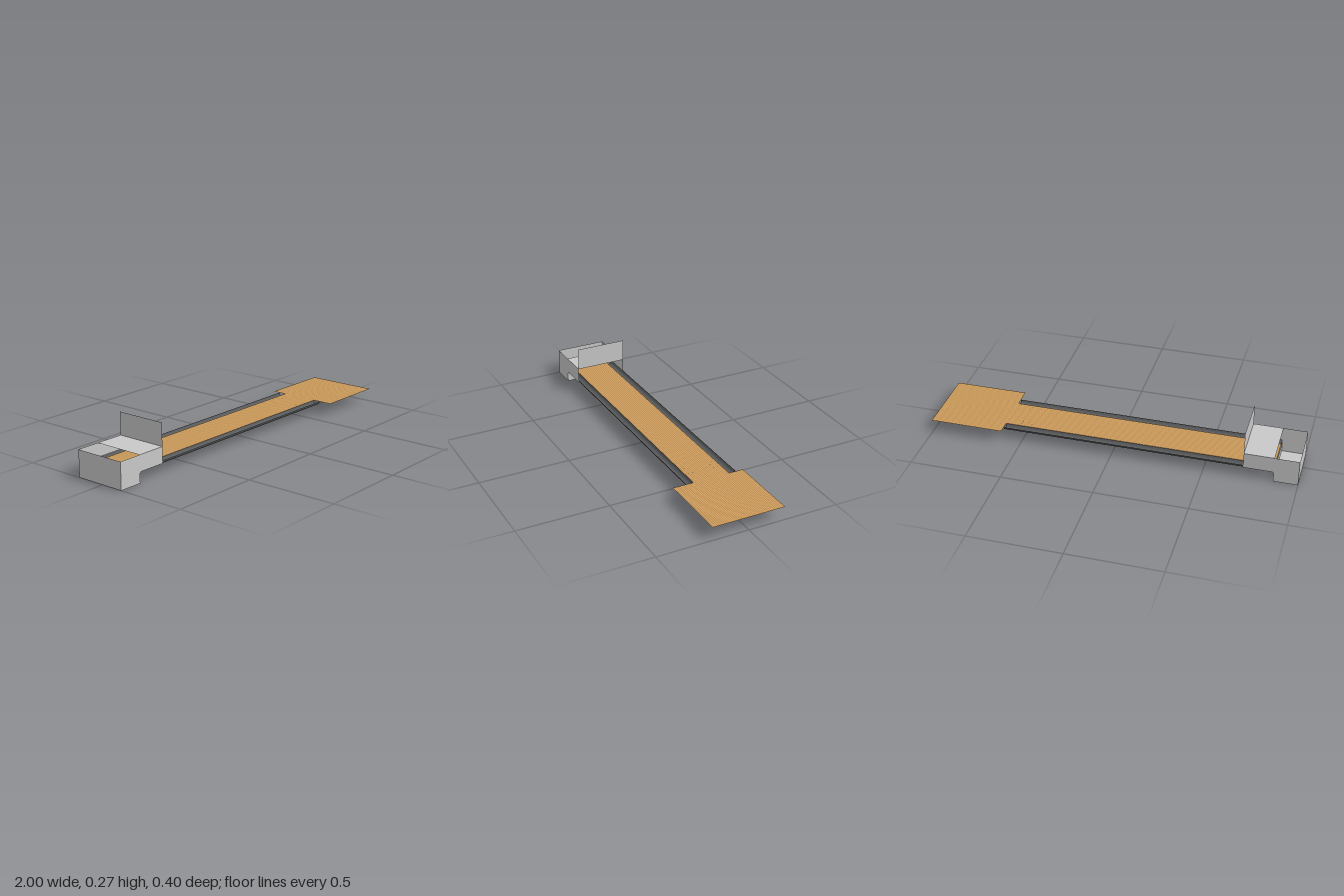
import * as THREE from 'three';
import { mergeGeometries } from 'three/addons/utils/BufferGeometryUtils.js';

const mat = (name, color) => {
  const m = new THREE.MeshStandardMaterial({ color, side: THREE.DoubleSide });
  m.name = name;
  return m;
};

const DECK_Y = 0.073;                 // height of the playing surface
const Z_BACK = -0.16, Z_FRONT = 0.125; // outer edges of the lane with gutters
const GUTTER_R = 0.02;
const PIT_X = -0.87, MOUTH_X = -0.71;  // pit wall and open end of the housing

export function createModel() {
  const group = new THREE.Group();
  const woodLight = mat('light wood', 0xd4a263);
  const woodDark = mat('dark wood', 0xb98a4e);
  const steel = mat('grey housing', 0xc8c8c8);
  const rubber = mat('dark gutter', 0x5a5b5c);
  const ink = mat('marker', 0x4a3a2a);

  const add = (name, geometry, material) => {
    const mesh = new THREE.Mesh(geometry, material);
    mesh.name = name;
    group.add(mesh);
    return mesh;
  };

  // Horizontal and crosswise panels
  const flat = (x0, x1, z0, z1, y) => new THREE.PlaneGeometry(x1 - x0, z1 - z0)
    .rotateX(-Math.PI / 2).translate((x0 + x1) / 2, y, (z0 + z1) / 2);
  const upright = (x, y0, y1) => new THREE.PlaneGeometry(Z_FRONT - Z_BACK, y1 - y0)
    .rotateY(Math.PI / 2).translate(x, (y0 + y1) / 2, (Z_FRONT + Z_BACK) / 2);

  // Floor of narrow boards in two alternating tones
  const boards = (name, x0, x1, z0, z1, count) => {
    const sets = [[], []];
    const w = (z1 - z0) / count;
    for (let i = 0; i < count; i++) {
      sets[i % 2].push(flat(x0, x1, z0 + i * w, z0 + (i + 1) * w, DECK_Y));
    }
    add(name + 'LightBoards', mergeGeometries(sets[0]), woodLight);
    add(name + 'DarkBoards', mergeGeometries(sets[1]), woodDark);
  };
  boards('lane', PIT_X, 0.6, Z_BACK + 2 * GUTTER_R, Z_FRONT - 2 * GUTTER_R, 39);
  boards('approach', 0.6, 1, -0.2, 0.2, 77);

  // Half-round gutters, open at the top
  for (const [name, z] of [['backGutter', Z_BACK + GUTTER_R], ['frontGutter', Z_FRONT - GUTTER_R]]) {
    const g = new THREE.CylinderGeometry(GUTTER_R, GUTTER_R, 0.6 - PIT_X, 16, 1, true, 0, Math.PI);
    g.rotateZ(-Math.PI / 2);
    const mesh = add(name, g, rubber);
    mesh.position.set((0.6 + PIT_X) / 2, DECK_Y, z);
  }

  // Small aiming marks near the foul line
  const zMid = (Z_BACK + Z_FRONT) / 2;
  const marks = [];
  for (const side of [-1, 1]) {
    for (const [x, off] of [[0.46, 0.08], [0.48, 0.06], [0.515, 0.085], [0.515, 0.06]]) {
      marks.push(new THREE.CircleGeometry(0.0025, 8).rotateX(-Math.PI / 2)
        .translate(x, DECK_Y + 0.0008, zMid + side * off));
    }
  }
  add('aimingMarks', mergeGeometries(marks), ink);

  // Housing side walls with a stepped underside
  const side = new THREE.Shape([
    [-1, 0], [PIT_X, 0], [PIT_X, 0.05], [PIT_X + 0.008, 0.058],
    [MOUTH_X, 0.058], [MOUTH_X, 0.145], [-1, 0.145],
  ].map(([x, y]) => new THREE.Vector2(x, y)));
  for (const [name, z] of [['backSideWall', Z_BACK], ['frontSideWall', Z_FRONT]]) {
    add(name, new THREE.ShapeGeometry(side).translate(0, 0, z), steel);
  }

  // Pit, roof and the panel standing above the mouth
  add('pitFloor', flat(-1, PIT_X, Z_BACK, Z_FRONT, 0), steel);
  add('endWall', upright(-1, 0, 0.145), steel);
  add('pitFrontWall', upright(PIT_X, 0, 0.054), steel);
  add('roof', flat(PIT_X, MOUTH_X, Z_BACK, Z_FRONT, 0.145), steel);
  add('maskingPanel', upright(MOUTH_X, 0.145, 0.268), steel);

  return group;
}
